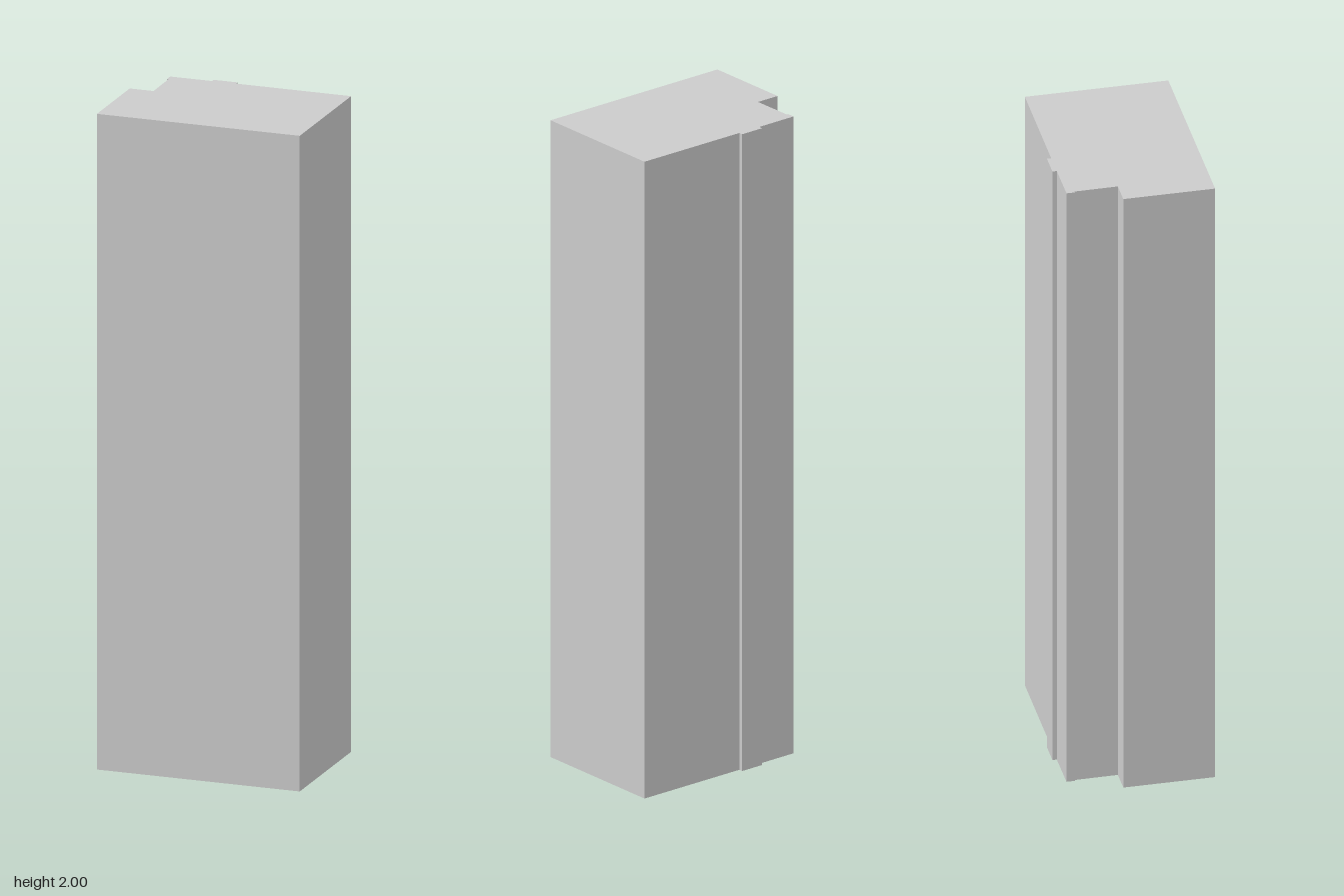
import * as THREE from 'three';

const HEIGHT = 2;

// Tower footprint as [x, z] corners, going round from the back right corner.
const FOOTPRINT = [
  [-0.231, -0.236], [-0.101, -0.226],
  [-0.1, -0.239], [-0.025, -0.233], [-0.026, -0.22], // shallow back pilaster
  [0.332, -0.191], [0.299, 0.237], [-0.332, 0.187],
  [-0.311, -0.087], [-0.237, -0.081],                // corner notch
  [-0.228, -0.211], [-0.233, -0.211],                // small lip
];

export function createModel() {
  const model = new THREE.Group();
  model.name = 'towerBlock';

  // Extrude the footprint along z, then stand it upright.
  const shape = new THREE.Shape(FOOTPRINT.map(([x, z]) => new THREE.Vector2(x, -z)));
  const geometry = new THREE.ExtrudeGeometry(shape, { depth: HEIGHT, bevelEnabled: false });
  geometry.rotateX(-Math.PI / 2);

  const material = new THREE.MeshStandardMaterial({ color: 0xcccccc, flatShading: true });
  const tower = new THREE.Mesh(geometry, material);
  tower.name = 'towerBody';
  model.add(tower);
  return model;
}
